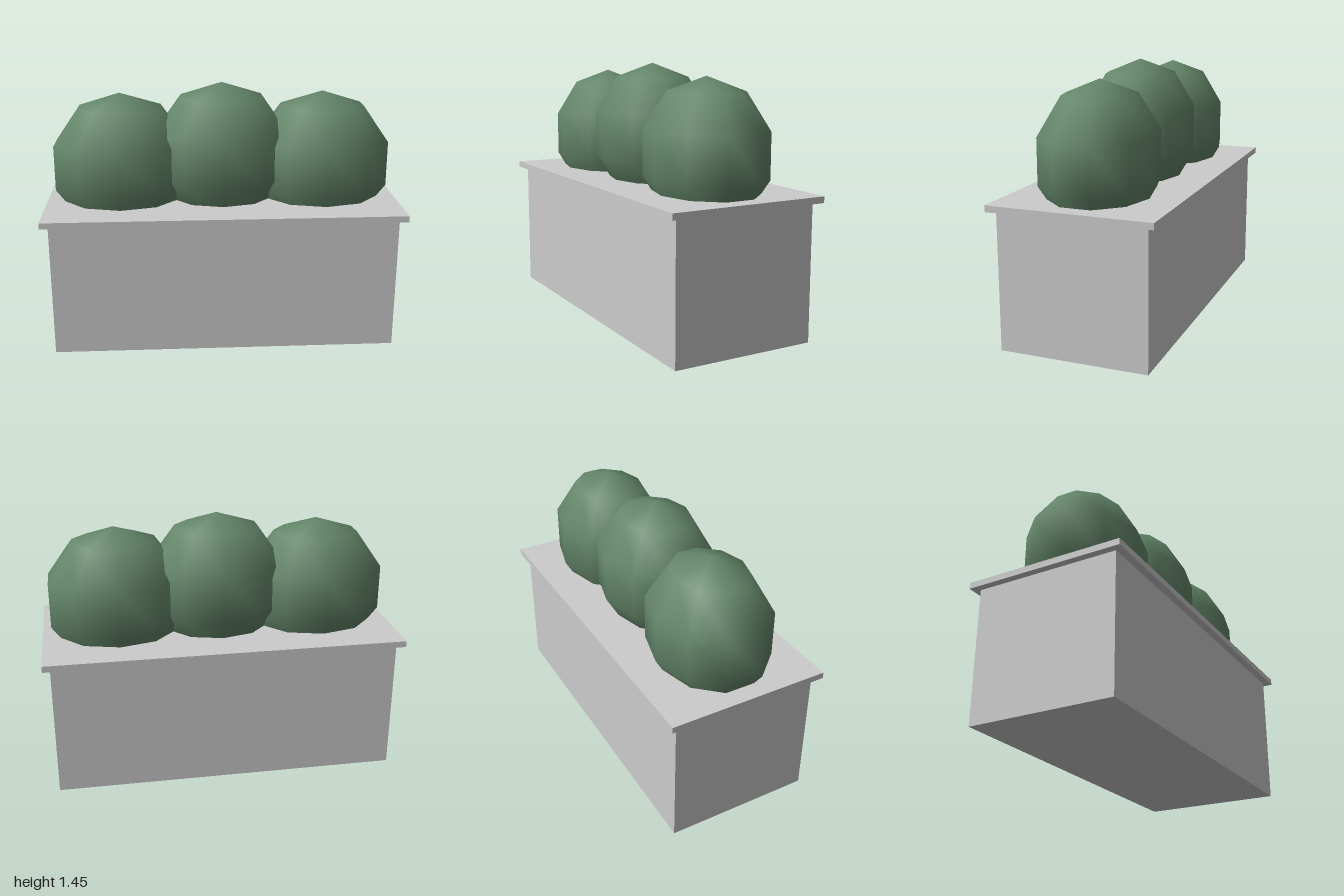
import * as THREE from 'three';

const stone = new THREE.MeshStandardMaterial({ color: 0xcccccc });
const foliage = new THREE.MeshStandardMaterial({ color: 0x64866a });

// Box standing on height y
function block(name, w, h, d, y) {
  const mesh = new THREE.Mesh(new THREE.BoxGeometry(w, h, d), stone);
  mesh.name = name;
  mesh.position.y = y + h / 2;
  return mesh;
}

export function createModel() {
  const model = new THREE.Group();
  model.name = 'planter';

  // Trough and its overhanging rim slab
  model.add(block('trough', 1.92, 0.755, 0.82, 0));
  model.add(block('rim', 2, 0.035, 0.905, 0.755));

  // Three coarse, smooth-shaded bushes; the middle one sits higher
  const bushGeometry = new THREE.SphereGeometry(0.411, 10, 5);
  bushGeometry.rotateY(Math.PI / 2);
  bushGeometry.scale(1, 1, 0.8);
  const bushes = [['rightBush', -0.576, 0.988], ['middleBush', 0, 1.043], ['leftBush', 0.576, 0.988]];
  for (const [name, x, y] of bushes) {
    const bush = new THREE.Mesh(bushGeometry, foliage);
    bush.name = name;
    bush.position.set(x, y, 0);
    model.add(bush);
  }
  return model;
}
